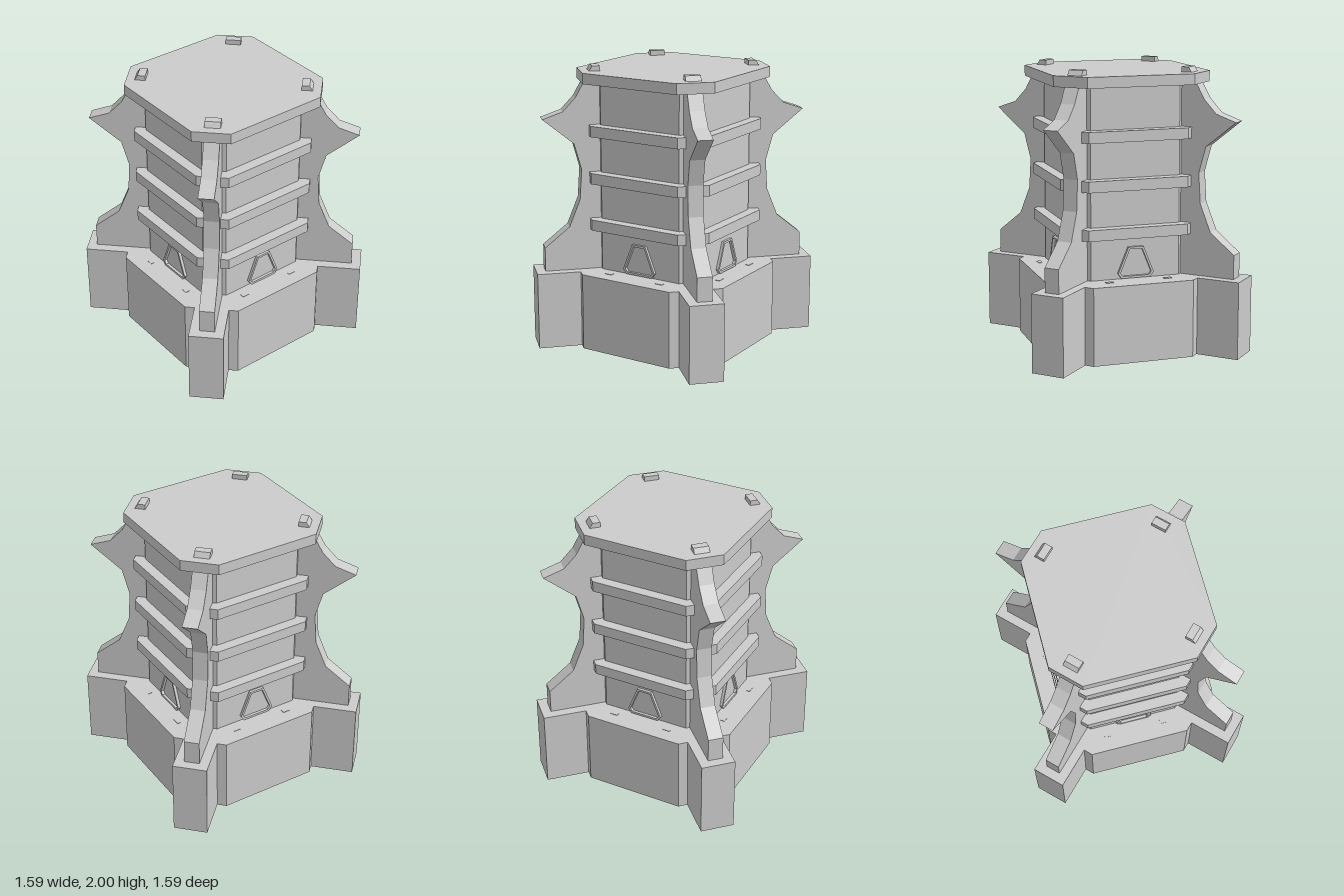
import * as THREE from 'three';

const material = new THREE.MeshStandardMaterial({ color: 0xcccccc, flatShading: true });

function toShape(points) {
  return new THREE.Shape(points.map(([x, y]) => new THREE.Vector2(x, y)));
}

function extrude(shape, depth) {
  return new THREE.ExtrudeGeometry(shape, { depth, bevelEnabled: false });
}

function addMesh(parent, name, geometry) {
  const mesh = new THREE.Mesh(geometry, material);
  mesh.name = name;
  parent.add(mesh);
  return mesh;
}

// Square slab with cut corners: half width w, flat side running from -f to f
function cutSquare(w, f, y0, y1) {
  const shape = toShape([[w, -f], [w, f], [f, w], [-f, w], [-w, f], [-w, -f], [-f, -w], [f, -w]]);
  return extrude(shape, y1 - y0).rotateX(-Math.PI / 2).translate(0, y0, 0);
}

// Buttress outline: distance from the axis, height
const FIN = [
  [0.53, 0.54], [0.937, 0.54], [0.937, 0.72], [0.76, 0.865], [0.682, 1.06],
  [0.668, 1.275], [0.718, 1.46], [0.937, 1.64], [0.792, 1.69], [0.703, 1.785],
  [0.645, 1.89], [0.605, 1.965], [0.583, 2.0], [0.53, 2.0],
];

// Doorway frame outlines, outer and inner
const DOOR = [[-0.105, 0.555], [0.105, 0.555], [0.13, 0.59], [0.055, 0.775], [-0.055, 0.775], [-0.13, 0.59]];
const OPENING = [[-0.095, 0.57], [0.095, 0.57], [0.112, 0.593], [0.045, 0.76], [-0.045, 0.76], [-0.112, 0.593]];

export function createModel() {
  const model = new THREE.Group();
  model.name = 'tower';

  // Stacked core
  addMesh(model, 'base', cutSquare(0.625, 0.36, 0, 0.55));
  addMesh(model, 'shaft', cutSquare(0.435, 0.32, 0.54, 1.9));
  addMesh(model, 'roofSlab', cutSquare(0.56, 0.378, 1.89, 1.965));
  for (const y of [0.845, 1.18, 1.515]) {
    addMesh(model, 'band', cutSquare(0.51, 0.355, y, y + 0.077));
  }

  // Shared geometry for the repeated parts
  const finWidth = 0.106;
  const finGeometry = extrude(toShape(FIN), finWidth).translate(0, 0, -finWidth / 2);
  const footGeometry = new THREE.BoxGeometry(0.45, 0.55, 0.24).translate(1.003 - 0.225, 0.275, 0);
  const doorShape = toShape(DOOR);
  doorShape.holes.push(toShape(OPENING));
  const doorGeometry = extrude(doorShape, 0.025).translate(0, 0, 0.43);
  const padGeometry = new THREE.BoxGeometry(0.055, 0.006, 0.03);

  for (let i = 0; i < 4; i++) {
    // Corner foot and buttress on each diagonal
    const corner = new THREE.Group();
    corner.name = 'corner';
    corner.rotation.y = Math.PI / 4 + i * Math.PI / 2;
    addMesh(corner, 'foot', footGeometry);
    addMesh(corner, 'buttress', finGeometry);
    model.add(corner);

    // Doorway frame and two floor pads on each side
    const side = new THREE.Group();
    side.name = 'side';
    side.rotation.y = i * Math.PI / 2;
    addMesh(side, 'doorFrame', doorGeometry);
    for (const x of [-0.21, 0.21]) {
      addMesh(side, 'floorPad', padGeometry).position.set(x, 0.55, 0.51);
    }
    model.add(side);
  }
  return model;
}
